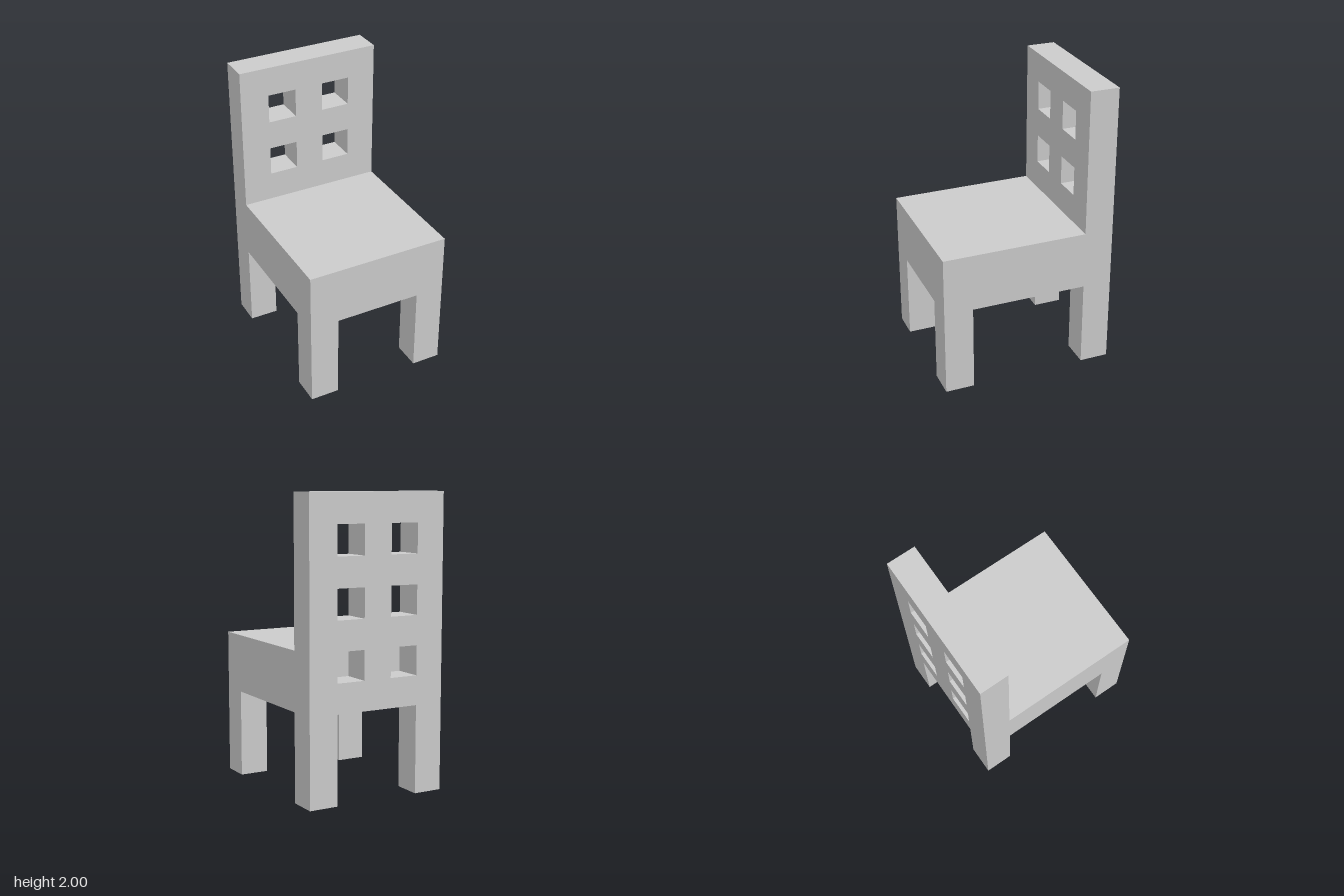
import * as THREE from 'three';

const material = new THREE.MeshStandardMaterial({ color: 0xcccccc, flatShading: true });
const T = 0.2; // thickness shared by legs, rails and panels
const W = 0.5; // half width
const INNER = W - T;
const RAIL = 0.6; // underside of the rails

// Upright slab standing on two legs, with optional square windows
function legPanel(name, height, z, windows = []) {
  const shape = new THREE.Shape([
    [-W, 0], [-INNER, 0], [-INNER, RAIL], [INNER, RAIL],
    [INNER, 0], [W, 0], [W, height], [-W, height],
  ].map(([x, y]) => new THREE.Vector2(x, y)));
  for (const [x, y] of windows) {
    shape.holes.push(new THREE.Path([
      [x, y], [x, y + T], [x + T, y + T], [x + T, y],
    ].map(([a, b]) => new THREE.Vector2(a, b))));
  }
  const geometry = new THREE.ExtrudeGeometry(shape, { depth: T, bevelEnabled: false });
  geometry.translate(0, 0, z);
  const mesh = new THREE.Mesh(geometry, material);
  mesh.name = name;
  return mesh;
}

function box(name, w, h, d, x, y, z) {
  const mesh = new THREE.Mesh(new THREE.BoxGeometry(w, h, d), material);
  mesh.name = name;
  mesh.position.set(x, y, z);
  return mesh;
}

export function createModel() {
  const chair = new THREE.Group();
  chair.name = 'chair';

  // Backrest with back legs: three rows of two windows, the lowest closed by the seat
  const windows = [];
  for (const y of [0.8, 1.2, 1.6]) for (const x of [-0.3, 0.1]) windows.push([x, y]);
  chair.add(legPanel('backrestAndBackLegs', 2, -0.6, windows));

  // Front rail with front legs
  chair.add(legPanel('frontRailAndFrontLegs', 1, 0.4));

  // Seat board between the two panels
  chair.add(box('seat', 2 * W, T, 0.8, 0, 0.9, 0));

  // Side rails, leaving a recess under the seat
  for (const side of [-1, 1]) {
    chair.add(box(side > 0 ? 'leftRail' : 'rightRail', T, T, 0.8, side * 0.4, 0.7, 0));
  }
  return chair;
}
